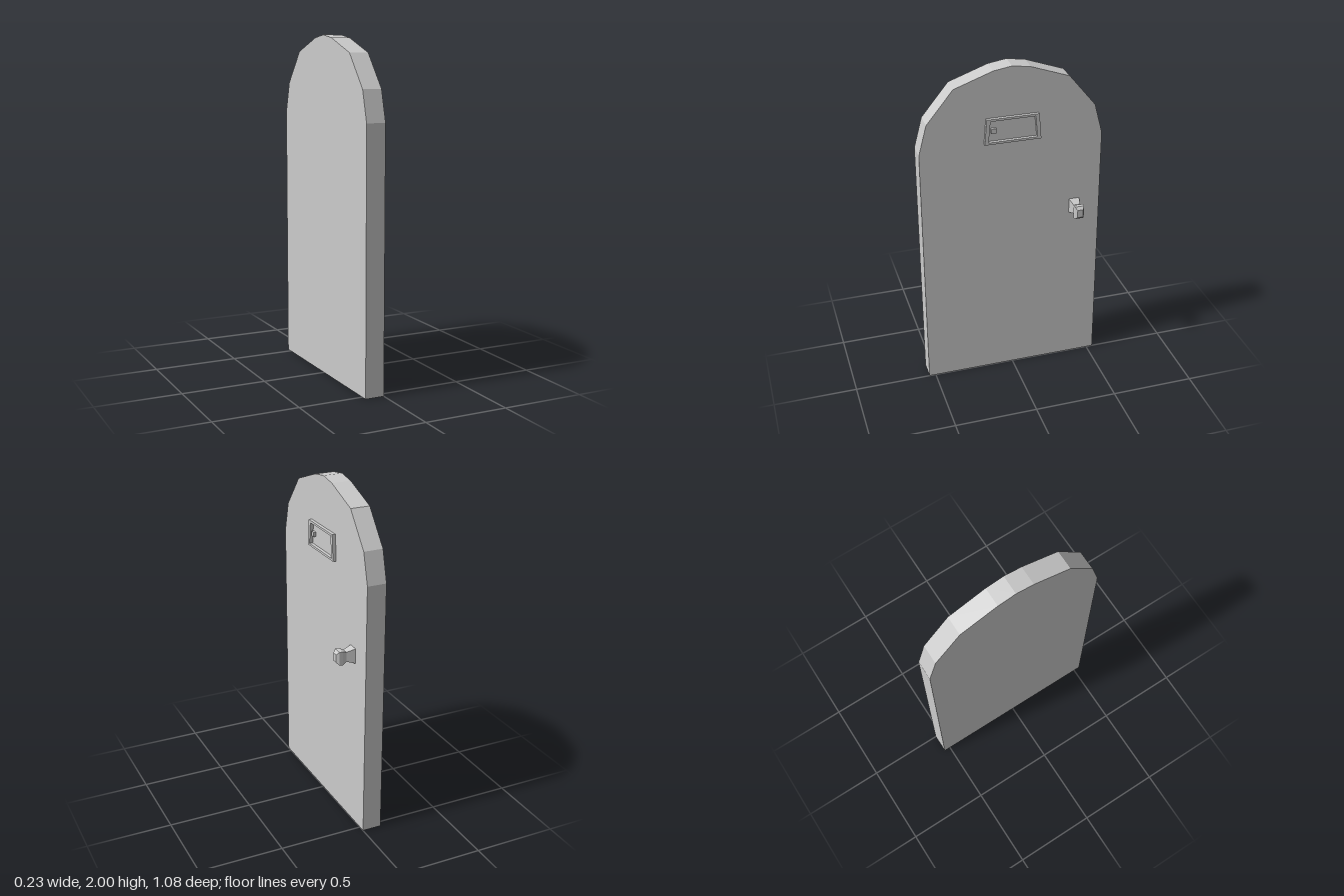
import * as THREE from 'three';

const material = new THREE.MeshStandardMaterial({ color: 0xcccccc, flatShading: true, side: THREE.DoubleSide });

const toPoints = (list) => list.map(([u, y]) => new THREE.Vector2(u, y));

// Extrudes an outline drawn in the door plane; its depth runs along +x from x0.
function plate(outline, depth, x0, hole) {
  const shape = new THREE.Shape(toPoints(outline));
  if (hole) shape.holes.push(new THREE.Path(toPoints(hole)));
  const geometry = new THREE.ExtrudeGeometry(shape, { depth, bevelEnabled: false });
  return geometry.rotateY(Math.PI / 2).translate(x0, 0, 0);
}

// Removes the triangles lying on the ground, leaving the underside open.
function openBottom(geometry) {
  const p = geometry.getAttribute('position');
  const kept = [];
  for (let i = 0; i < p.count; i += 3) {
    if (Math.max(p.getY(i), p.getY(i + 1), p.getY(i + 2)) < 1e-4) continue;
    for (let j = i; j < i + 3; j++) kept.push(p.getX(j), p.getY(j), p.getZ(j));
  }
  const open = new THREE.BufferGeometry();
  open.setAttribute('position', new THREE.Float32BufferAttribute(kept, 3));
  open.computeVertexNormals();
  return open;
}

// Symmetric trapezoid given bottom and top half widths.
const trapezoid = (bottom, top, y0, y1) => [[-bottom, y0], [bottom, y0], [top, y1], [-top, y1]];

export function createModel() {
  const group = new THREE.Group();
  const add = (name, geometry) => {
    const mesh = new THREE.Mesh(geometry, material);
    mesh.name = name;
    group.add(mesh);
    return mesh;
  };

  // Arched door slab
  const half = [[0.54, 0], [0.54, 1.53], [0.492, 1.71], [0.335, 1.902], [0.108, 1.983]];
  const mirrored = half.map(([u, y]) => [-u, y]).reverse();
  add('doorSlab', openBottom(plate([...half, [0, 2], ...mirrored], 0.115, -0.115)));

  // Tapered hatch frame and its small latch
  add('hatchFrame', plate(
    trapezoid(0.166, 0.154, 1.552, 1.706), 0.02, 0,
    trapezoid(0.144, 0.132, 1.565, 1.693)));
  add('hatchLatch', new THREE.BoxGeometry(0.016, 0.027, 0.03)).position.set(0.008, 1.631, 0.111);

  // Four-sided flared door knob
  const profile = [[1, 0], [0.63, 0.05], [0.92, 0.077], [0.89, 0.097], [0.53, 0.113], [0, 0.113]];
  const knob = new THREE.LatheGeometry(
    toPoints(profile.map(([r, x]) => [r * Math.SQRT2, x])), 4, Math.PI / 4);
  knob.scale(0.045, 1, 0.0315).rotateZ(-Math.PI / 2);
  add('doorKnob', knob).position.set(0, 1.074, -0.383);

  return group;
}
